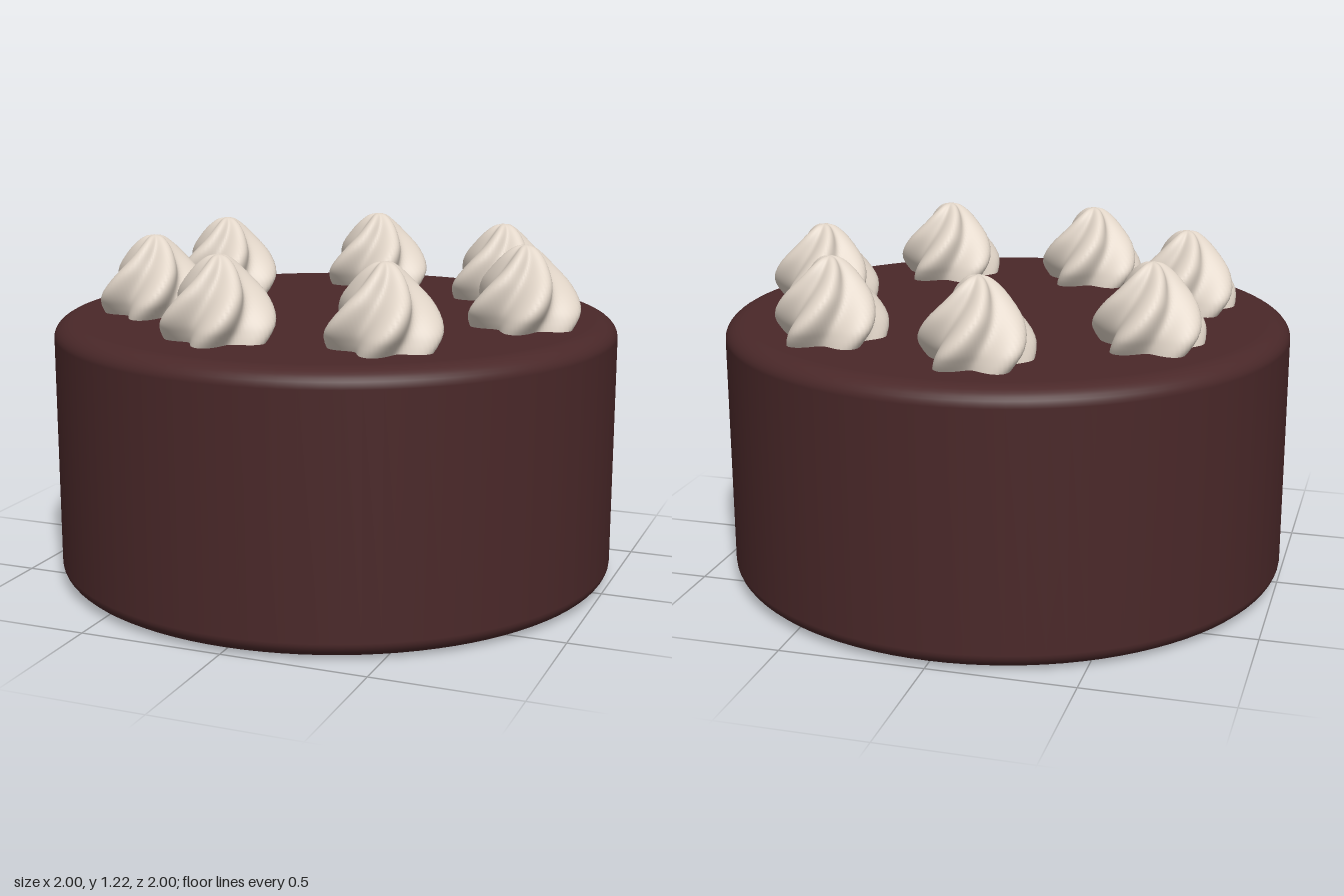
import * as THREE from 'three';
import { mergeVertices } from 'three/addons/utils/BufferGeometryUtils.js';

const CAKE_HEIGHT = 0.935;
const LOBES = 5;
const TWIST = 1.25; // radians from base to peak

// Round body with softened top and bottom rims
function cakeGeometry() {
  const w = 0.085, h = 0.06, steps = 8;
  const pts = [new THREE.Vector2(0, 0), new THREE.Vector2(0.8, 0)];
  for (let i = 0; i <= steps; i++) {
    const a = (i / steps) * Math.PI / 2;
    pts.push(new THREE.Vector2(1 - w + w * Math.sin(a), h - h * Math.cos(a)));
  }
  for (let i = 0; i <= steps; i++) {
    const a = (i / steps) * Math.PI / 2;
    pts.push(new THREE.Vector2(1 - w + w * Math.cos(a), CAKE_HEIGHT - h + h * Math.sin(a)));
  }
  pts.push(new THREE.Vector2(0.8, CAKE_HEIGHT), new THREE.Vector2(0, CAKE_HEIGHT));
  return new THREE.LatheGeometry(pts, 96);
}

// Piped star: a lathe whose rings are fluted and twisted towards the peak
function dollopGeometry() {
  const profile = new THREE.SplineCurve([
    [0.178, -0.01], [0.192, 0.025], [0.198, 0.06], [0.187, 0.10], [0.158, 0.15],
    [0.115, 0.2], [0.073, 0.245], [0.035, 0.273], [0, 0.28],
  ].map(([r, y]) => new THREE.Vector2(r, y)));
  const pts = profile.getPoints(40);
  pts[pts.length - 1].x = 0;
  const geo = new THREE.LatheGeometry(pts, 80);
  const pos = geo.attributes.position;
  for (let i = 0; i < pos.count; i++) {
    const x = pos.getX(i), y = pos.getY(i), z = pos.getZ(i);
    const r = Math.hypot(x, z), a = Math.atan2(z, x);
    const turn = TWIST * (y - 0.05) / 0.28;
    const flute = 0.83 + 0.17 * Math.cos(LOBES * (a + turn));
    pos.setXYZ(i, r * flute * Math.cos(a), y, r * flute * Math.sin(a));
  }
  // Weld the seam so the normals stay smooth all round
  geo.deleteAttribute('uv');
  geo.deleteAttribute('normal');
  const welded = mergeVertices(geo, 1e-5);
  welded.computeVertexNormals();
  return welded;
}

export function createModel() {
  const group = new THREE.Group();
  const chocolate = new THREE.MeshStandardMaterial({ color: 0x4a2829 });
  const cream = new THREE.MeshStandardMaterial({ color: 0xe0d4c7, side: THREE.DoubleSide });

  const cake = new THREE.Mesh(cakeGeometry(), chocolate);
  cake.name = 'cakeBody';
  group.add(cake);

  // Slightly uneven ring of cream dollops, all piped the same way round
  const dollops = new THREE.Group();
  dollops.name = 'creamDollops';
  const geo = dollopGeometry();
  const spots = [
    [0.695, 0.01], [0.47, -0.515], [-0.085, -0.665], [-0.58, -0.323],
    [-0.6, 0.235], [-0.178, 0.596], [0.38, 0.543],
  ];
  spots.forEach(([x, z], i) => {
    const dollop = new THREE.Mesh(geo, cream);
    dollop.name = `creamDollop${i + 1}`;
    dollop.position.set(x, CAKE_HEIGHT, z);
    dollops.add(dollop);
  });
  group.add(dollops);
  return group;
}
